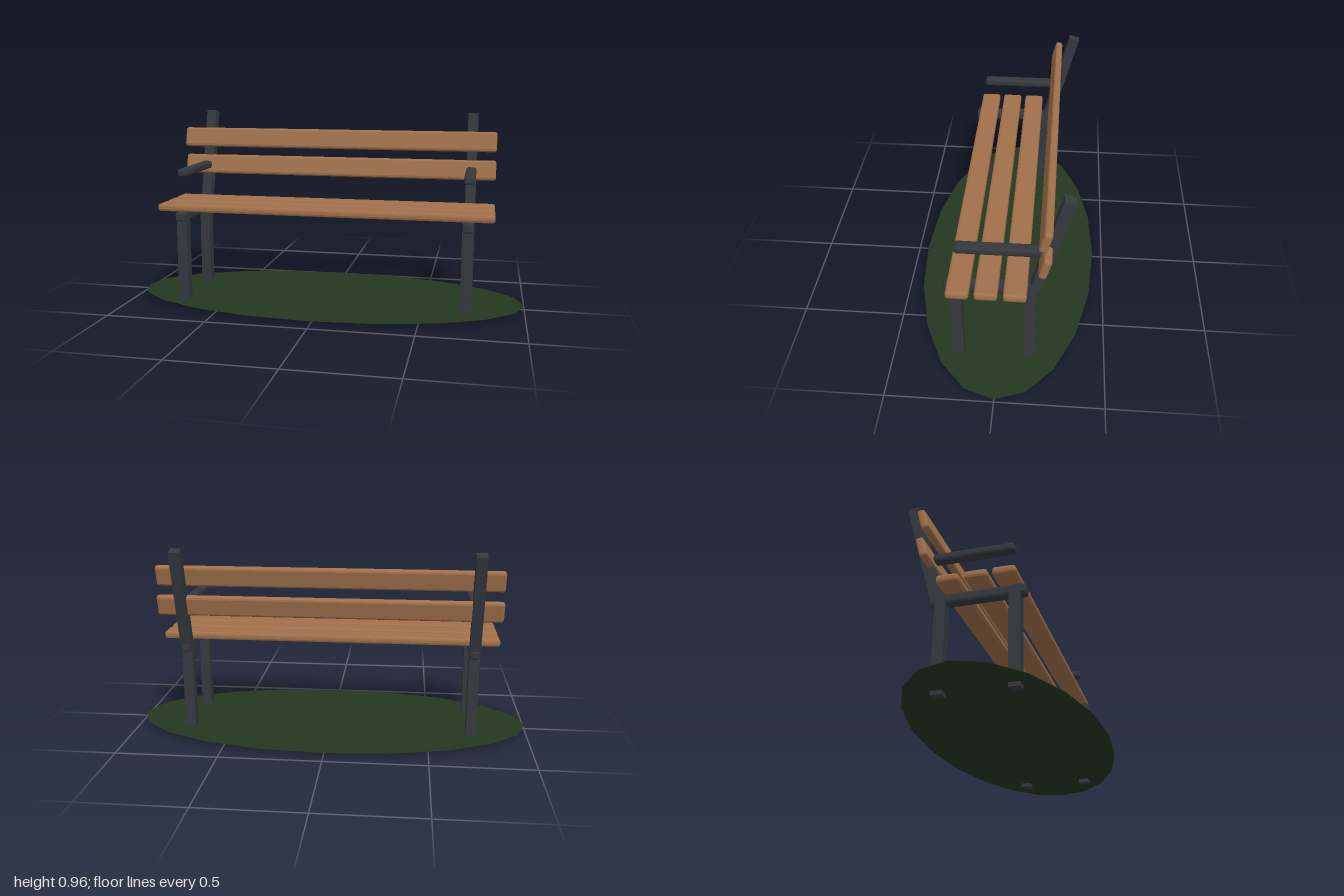
import * as THREE from 'three';
import { RoundedBoxGeometry } from 'three/addons/geometries/RoundedBoxGeometry.js';

const wood = new THREE.MeshStandardMaterial({ color: 0xa0704a, flatShading: true });
const iron = new THREE.MeshStandardMaterial({ color: 0x34383d, flatShading: true });
const grass = new THREE.MeshStandardMaterial({ color: 0x243620, flatShading: true, side: THREE.DoubleSide });

const LEAN = -THREE.MathUtils.degToRad(15);

export function createModel() {
  const model = new THREE.Group();
  model.name = 'parkBench';

  const add = (name, geometry, material, x, y, z, tilt = 0) => {
    const mesh = new THREE.Mesh(geometry, material);
    mesh.name = name;
    mesh.position.set(x, y, z);
    mesh.rotation.x = tilt;
    model.add(mesh);
    return mesh;
  };
  // Box with a single-facet bevel
  const bevelBox = (w, h, d, r) => new RoundedBoxGeometry(w, h, d, 1, r);

  // Oval patch of grass, a thin sheet just above the feet
  const patch = add('grassPatch', new THREE.CircleGeometry(1, 20), grass, 0, 0.02, 0, -Math.PI / 2);
  patch.scale.set(1, 0.45, 1);

  // Two matching iron side frames
  for (const [side, x] of [['left', 0.715], ['right', -0.715]]) {
    add(side + 'FrontLeg', new THREE.BoxGeometry(0.052, 0.47, 0.052), iron, x, 0.235, 0.19);
    add(side + 'RearLeg', new THREE.BoxGeometry(0.052, 0.47, 0.052), iron, x, 0.235, -0.146);
    add(side + 'SeatRail', bevelBox(0.05, 0.052, 0.44, 0.013), iron, x, 0.449, 0.022);
    add(side + 'BackPost', new THREE.BoxGeometry(0.052, 0.525, 0.052), iron, x, 0.7, -0.232, LEAN);
    add(side + 'Armrest', bevelBox(0.052, 0.04, 0.38, 0.012), iron, x, 0.668, 0);
  }

  // Seat slats
  [0.17, 0.045, -0.082].forEach((z, i) =>
    add('seatSlat' + (i + 1), bevelBox(1.68, 0.037, 0.103, 0.012), wood, 0, 0.492, z));

  // Leaning backrest slats
  [0.669, 0.816].forEach((y, i) =>
    add('backSlat' + (i + 1), bevelBox(1.68, 0.103, 0.037, 0.012), wood, 0, y, -0.208, LEAN));

  return model;
}
